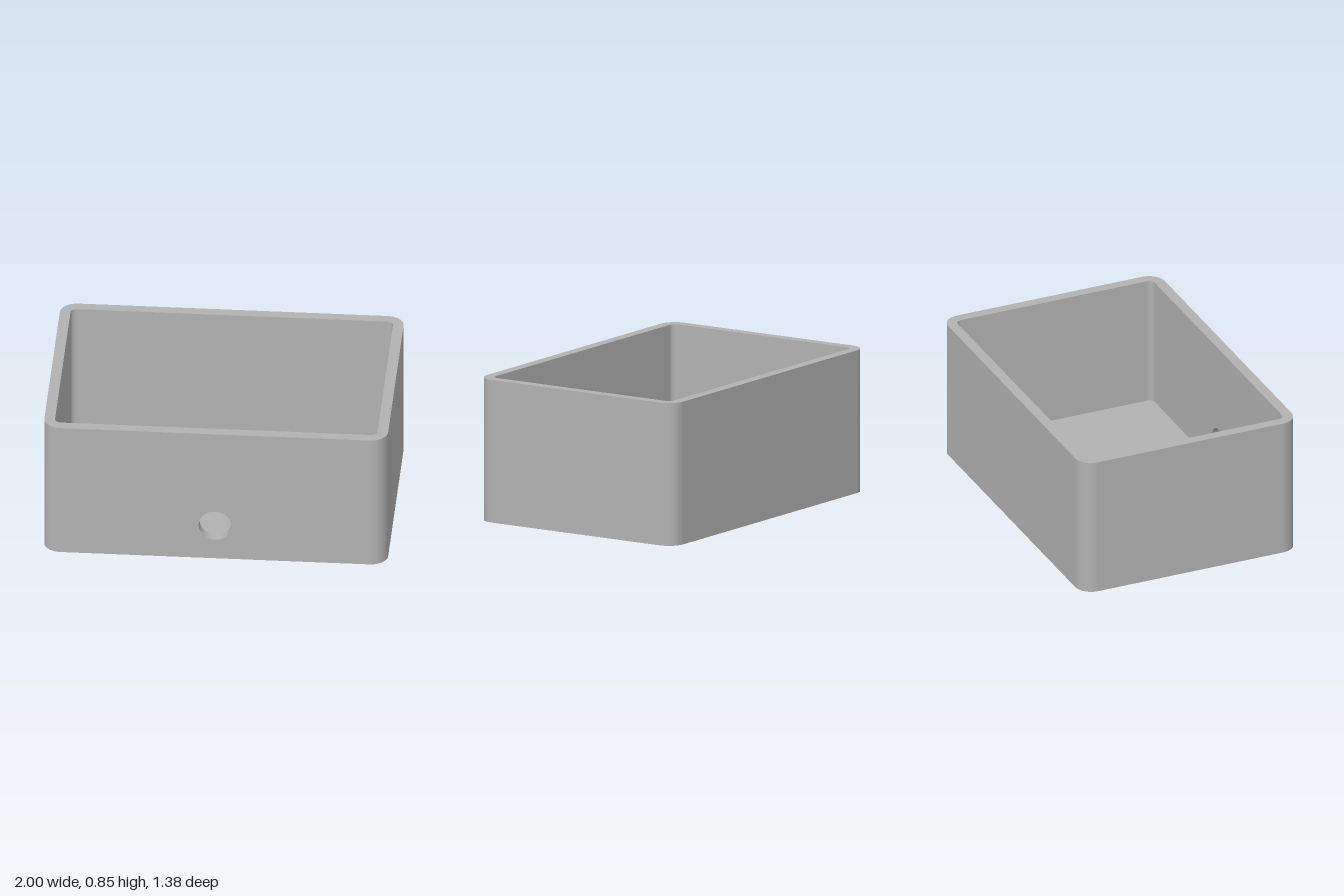
import * as THREE from 'three';

const CX = 0.9, CZ = 0.588;            // corner arc centres
const R_OUT = 0.1, R_IN = 0.038;       // outer and inner corner radii
const H = 0.845, FLOOR = 0.062;        // height and floor thickness
const HOLE_Y = 0.222, HOLE_R = 0.095;
const ARC = 12;

// Corner arc points, anticlockwise from the front right corner, with their normals
function corners(r) {
  const list = [];
  [[1, -1], [1, 1], [-1, 1], [-1, -1]].forEach(([sx, sy], k) => {
    for (let i = 0; i <= ARC; i++) {
      const a = (k - 1 + i / ARC) * Math.PI / 2;
      const nx = Math.cos(a), ny = Math.sin(a);
      list.push({ x: sx * CX + r * nx, y: sy * CZ + r * ny, nx, ny });
    }
  });
  return list;
}

const outline = r => corners(r).map(p => new THREE.Vector2(p.x, p.y));

// Side and back walls as one smooth strip, open along the front panel
function wallStrip(r, y0, y1, inward) {
  const s = inward ? -1 : 1, pos = [], nor = [], idx = [];
  corners(r).forEach((p, i, all) => {
    pos.push(p.x, y0, -p.y, p.x, y1, -p.y);
    nor.push(s * p.nx, 0, -s * p.ny, s * p.nx, 0, -s * p.ny);
    if (i === all.length - 1) return;
    const a = 2 * i, b = a + 2;
    if (inward) idx.push(a, a + 1, b, b, a + 1, b + 1);
    else idx.push(a, b, a + 1, b, b + 1, a + 1);
  });
  const g = new THREE.BufferGeometry();
  g.setAttribute('position', new THREE.Float32BufferAttribute(pos, 3));
  g.setAttribute('normal', new THREE.Float32BufferAttribute(nor, 3));
  g.setIndex(idx);
  return g;
}

// Flat front wall face pierced by the round hole
function frontPanel(y0, y1) {
  const s = new THREE.Shape([
    new THREE.Vector2(-CX, y0), new THREE.Vector2(CX, y0),
    new THREE.Vector2(CX, y1), new THREE.Vector2(-CX, y1),
  ]);
  s.holes.push(new THREE.Path().absarc(0, HOLE_Y, HOLE_R, 0, Math.PI * 2, true));
  return new THREE.ShapeGeometry(s, 24);
}

export function createModel() {
  const group = new THREE.Group();
  const grey = new THREE.MeshStandardMaterial({ color: 0xb2b2b2 });
  grey.name = 'plain grey';
  const add = (name, geometry) => {
    const mesh = new THREE.Mesh(geometry, grey);
    mesh.name = name;
    group.add(mesh);
  };

  // Walls
  add('outerWalls', wallStrip(R_OUT, 0, H, false));
  add('innerWalls', wallStrip(R_IN, FLOOR, H, true));
  add('frontOuterFace', frontPanel(0, H).translate(0, 0, CZ + R_OUT));
  const inner = frontPanel(FLOOR, H).rotateY(Math.PI);
  add('frontInnerFace', inner.translate(0, 0, CZ + R_IN));

  // Rim around the open top
  const rim = new THREE.Shape(outline(R_OUT));
  rim.holes.push(new THREE.Path(outline(R_IN)));
  add('rim', new THREE.ShapeGeometry(rim).rotateX(-Math.PI / 2).translate(0, H, 0));

  // Floor and underside
  const floor = new THREE.ShapeGeometry(new THREE.Shape(outline(R_IN)));
  add('floor', floor.rotateX(-Math.PI / 2).translate(0, FLOOR, 0));
  const base = new THREE.ShapeGeometry(new THREE.Shape(outline(R_OUT)));
  add('underside', base.rotateX(Math.PI / 2));

  // Inward-facing bore of the hole
  const bore = new THREE.LatheGeometry([
    new THREE.Vector2(HOLE_R, CZ + R_OUT), new THREE.Vector2(HOLE_R, CZ + R_IN),
  ], 48);
  add('holeBore', bore.rotateX(Math.PI / 2).translate(0, HOLE_Y, 0));

  return group;
}
